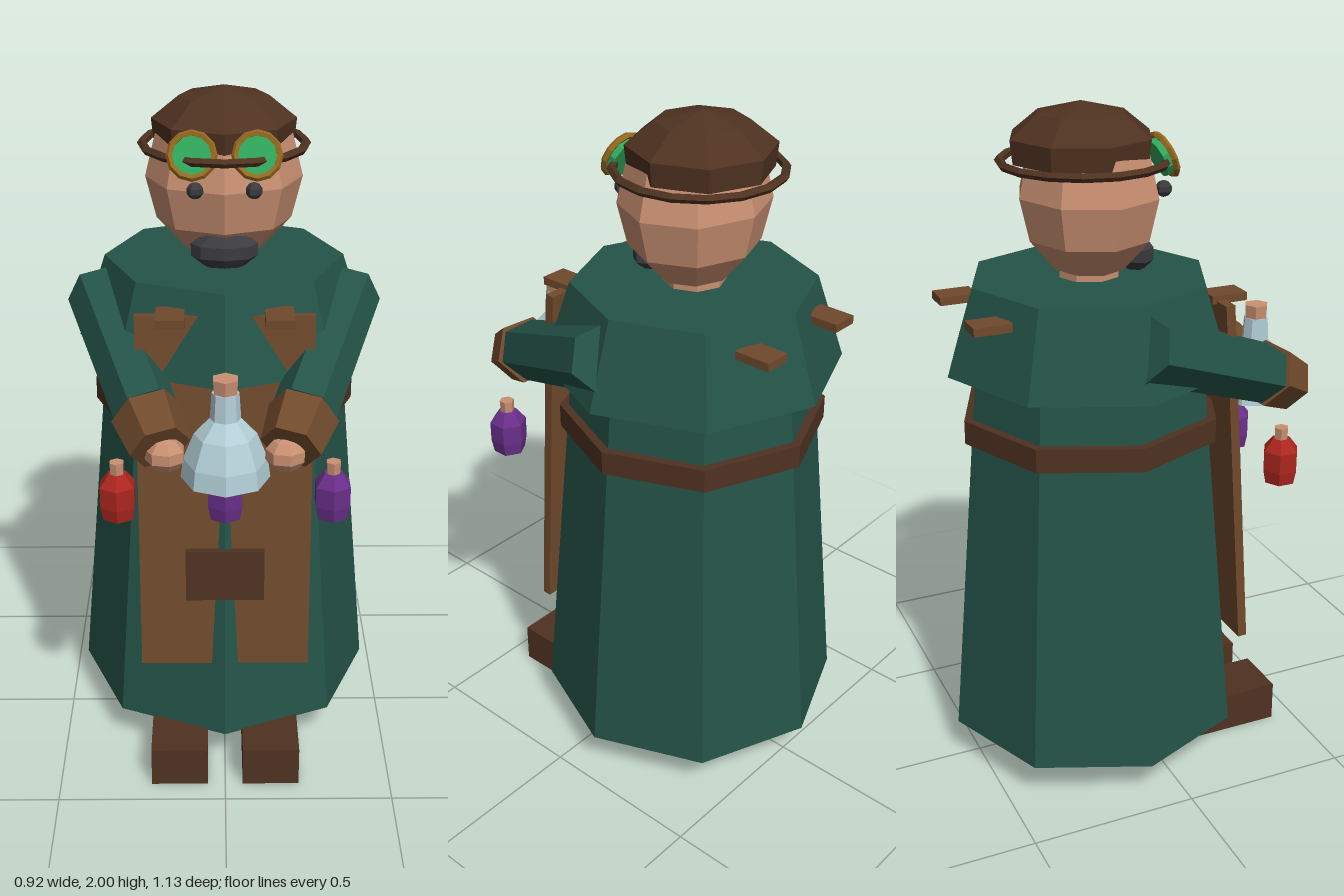
import * as THREE from 'three';

const mat = (name, color) => {
  const m = new THREE.MeshStandardMaterial({ color, flatShading: true });
  m.name = name;
  return m;
};

export function createModel() {
  const robeGreen = mat('robe green', 0x245348);
  const tan = mat('apron brown', 0x704a2c);
  const leather = mat('dark leather', 0x4f3221);
  const skin = mat('skin and cork', 0xc99072);
  const charcoal = mat('charcoal', 0x3c3c40);
  const brass = mat('brass', 0x95691f);
  const lensGreen = mat('lens green', 0x30a85c);
  const glass = mat('pale glass', 0xb2ced6);
  const red = mat('red potion', 0xad261f);
  const purple = mat('purple potion', 0x6a2f8a);

  const model = new THREE.Group();
  const bodyZ = -0.11;

  const add = (name, geometry, material, x, y, z, parent = model) => {
    const mesh = new THREE.Mesh(geometry, material);
    mesh.name = name;
    mesh.position.set(x, y, z);
    parent.add(mesh);
    return mesh;
  };
  const box = (name, w, h, d, material, x, y, z) =>
    add(name, new THREE.BoxGeometry(w, h, d), material, x, y, z);
  // Upright tapered prism between two heights
  const prism = (name, rTop, rBottom, y0, y1, sides, material, x, z) =>
    add(name, new THREE.CylinderGeometry(rTop, rBottom, y1 - y0, sides), material, x, (y0 + y1) / 2, z);
  const lathe = (name, profile, sides, material, x, z) =>
    add(name, new THREE.LatheGeometry(profile.map(([r, y]) => new THREE.Vector2(r, y)), sides), material, x, 0, z);
  const ball = (name, rx, ry, rz, w, h, material, x, y, z) =>
    add(name, new THREE.SphereGeometry(1, w, h).scale(rx, ry, rz), material, x, y, z);
  // Tapered prism between two points
  const limb = (name, a, b, rA, rB, sides, material) => {
    const dir = b.clone().sub(a);
    const mid = a.clone().add(b).multiplyScalar(0.5);
    const mesh = add(name, new THREE.CylinderGeometry(rB, rA, dir.length(), sides), material, mid.x, mid.y, mid.z);
    mesh.quaternion.setFromUnitVectors(new THREE.Vector3(0, 1, 0), dir.normalize());
    return mesh;
  };

  // Robe, shoulder cape and belt
  prism('robe', 0.33, 0.455, 0.12, 1.49, 8, robeGreen, 0, bodyZ);
  prism('cape', 0.35, 0.432, 1.26, 1.51, 8, robeGreen, 0, bodyZ);
  prism('belt', 0.39, 0.39, 1.05, 1.12, 8, leather, 0, bodyZ);
  box('buckle', 0.1, 0.08, 0.03, brass, 0, 1.08, 0.275);

  // Apron slab leaning against the robe, with a pocket
  box('apron', 0.5, 1.09, 0.028, tan, 0, 0.9, 0.255).rotation.x = -0.07;
  box('apronPocket', 0.23, 0.16, 0.03, leather, 0, 0.66, 0.29).rotation.x = -0.05;

  // Head and neck
  prism('neck', 0.09, 0.09, 1.45, 1.58, 8, skin, 0, bodyZ);
  ball('head', 0.226, 0.243, 0.204, 8, 6, skin, 0, 1.745, bodyZ);
  ball('beard', 0.1, 0.058, 0.058, 8, 5, charcoal, 0, 1.568, 0.022);
  lathe('cap', [[0, 1.84], [0.2, 1.84], [0.207, 1.907], [0.128, 1.97], [0, 2]], 8, leather, 0, -0.13);
  const strap = add('goggleStrap', new THREE.TorusGeometry(0.235, 0.013, 5, 16), leather, 0, 1.838, -0.122);
  strap.rotation.x = Math.PI / 2;

  for (const s of [-1, 1]) {
    const side = s > 0 ? 'left' : 'right';

    // Eyes and tilted goggles
    ball(side + 'Eye', 0.024, 0.024, 0.024, 6, 5, charcoal, s * 0.081, 1.755, 0.084);
    const goggle = new THREE.Group();
    goggle.name = side + 'Goggle';
    goggle.position.set(s * 0.089, 1.852, 0.082);
    goggle.rotation.x = -0.42;
    model.add(goggle);
    add(side + 'GoggleRim', new THREE.TorusGeometry(0.061, 0.01, 5, 12), brass, 0, 0, 0, goggle);
    add(side + 'GoggleLens', new THREE.CylinderGeometry(0.056, 0.056, 0.03, 10).rotateX(Math.PI / 2),
      lensGreen, 0, 0, -0.01, goggle);

    // Sleeve, cuff and hand reaching forward to the flask
    const shoulder = new THREE.Vector3(s * 0.37, 1.4, -0.1);
    const wrist = new THREE.Vector3(s * 0.215, 1.212, 0.355);
    const cuffEnd = new THREE.Vector3(s * 0.175, 1.155, 0.455);
    limb(side + 'Sleeve', shoulder, wrist, 0.095, 0.09, 6, robeGreen);
    limb(side + 'Cuff', wrist, cuffEnd, 0.1, 0.085, 6, tan);
    ball(side + 'Hand', 0.058, 0.05, 0.05, 7, 5, skin, s * 0.162, 1.135, 0.455);

    // Shoulder strap tabs, front and back
    for (const [end, z] of [['Front', 0.245], ['Back', -0.465]])
      box(side + end + 'StrapTab', 0.08, 0.024, 0.11, tan, s * 0.15, 1.446, z);

    // Legs and boots
    prism(side + 'Leg', 0.093, 0.093, 0.06, 0.6, 8, charcoal, s * 0.138, bodyZ);
    box(side + 'Boot', 0.17, 0.125, 0.385, leather, s * 0.138, 0.0625, 0.237);
  }

  // Large glass flask held in both hands
  lathe('flask', [[0, 1.06], [0.122, 1.06], [0.115, 1.115], [0.085, 1.19], [0.042, 1.235], [0.037, 1.31], [0, 1.31]],
    8, glass, 0, 0.44);
  prism('flaskCork', 0.038, 0.035, 1.305, 1.35, 6, skin, 0, 0.44);

  // Small potions hanging at the belt
  const potions = [['rightPotion', -0.3, red], ['middlePotion', 0, purple], ['leftPotion', 0.3, purple]];
  for (const [name, x, material] of potions) {
    lathe(name, [[0, 0.9], [0.047, 0.9], [0.055, 0.94], [0.055, 1], [0.028, 1.035], [0, 1.035]], 6, material, x, 0.37);
    prism(name + 'Cork', 0.022, 0.02, 1.03, 1.07, 6, skin, x, 0.37);
  }

  return model;
}
